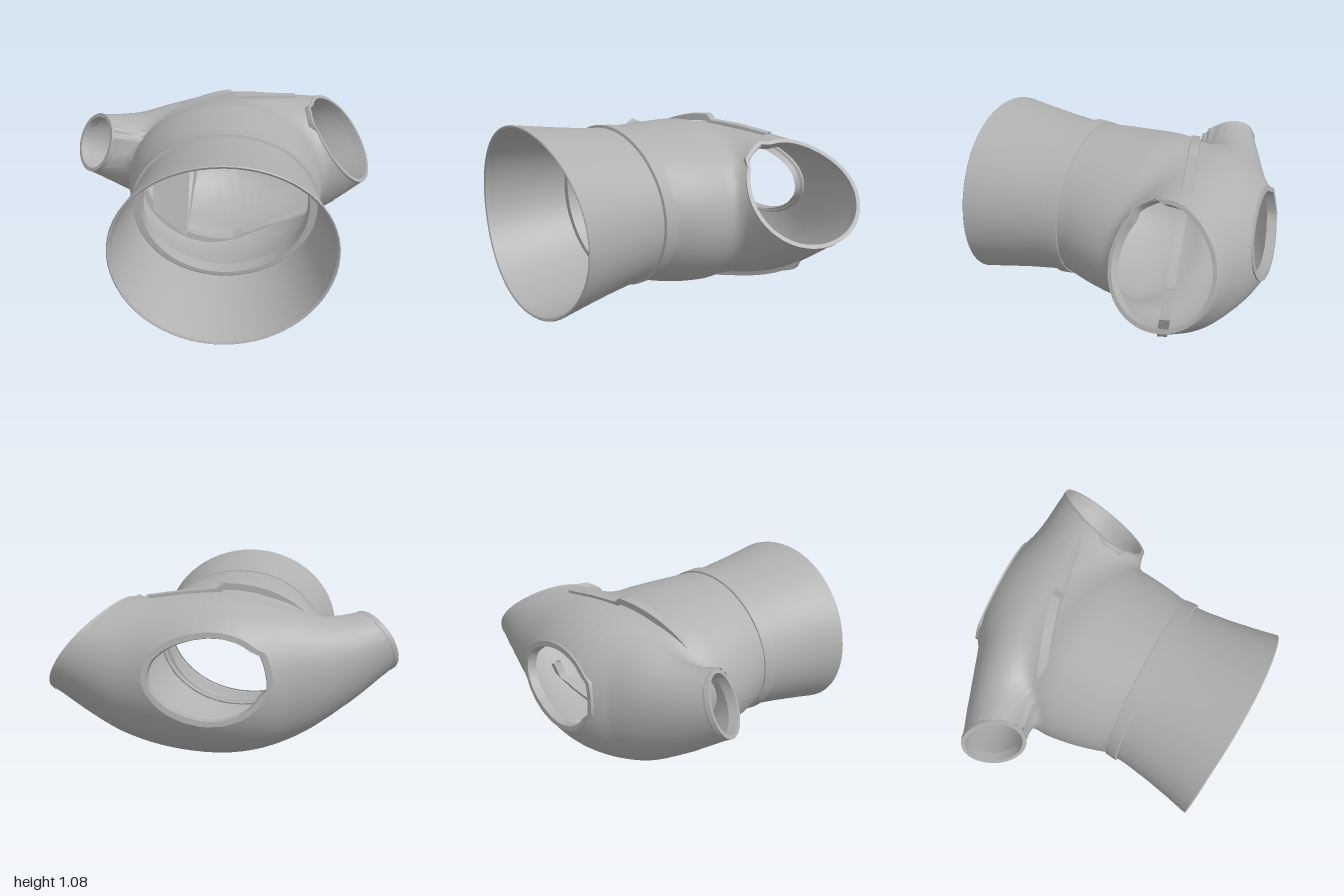
import * as THREE from 'three';
import { mergeVertices } from 'three/addons/utils/BufferGeometryUtils.js';

const V = (x, y, z) => new THREE.Vector3(x, y, z);
const UP = V(0, 1, 0);
const grey = new THREE.MeshStandardMaterial({ color: 0xb0b0b0, side: THREE.DoubleSide });
grey.name = 'grey';

// Torso frame: W runs towards the hem, U across the body
const W = V(0.3, 0, 0.954), U = V(0.954, 0, -0.3);
const WAIST = V(0.2, 0.555, 0.26), HEART = V(0, 0.53, -0.42);

// Openings that are cut from the body shell
const openings = {
  rightSleeve: { p: V(-0.77, 0.685, -0.035), n: V(-0.55, 0.4, 0.73).normalize(), reach: 0.5, lip: 0.003 },
  leftSleeve: { p: V(0.725, 0.645, -0.68), n: V(0.82, 0.58, 0.01).normalize(), reach: 0.62, lip: 0.003 },
  neck: { p: V(0.008, 0.52, -0.824), n: V(-0.36, 0.15, -0.92).normalize(), reach: 0.6, lip: 0.012 },
};
const waistCut = { p: WAIST.clone().addScaledVector(W, 0.04), n: W, reach: 9 };

// Shoulder tube from sleeve to sleeve: x, y, z, half width, half height
const stations = [
  [-0.93, 0.78, 0.1, 0.165, 0.165], [-0.77, 0.685, -0.035, 0.18, 0.185], [-0.52, 0.56, -0.23, 0.215, 0.28],
  [-0.25, 0.51, -0.35, 0.303, 0.395], [0.08, 0.51, -0.42, 0.468, 0.458], [0.42, 0.54, -0.56, 0.365, 0.405],
  [0.725, 0.645, -0.68, 0.305, 0.285], [0.9, 0.72, -0.75, 0.25, 0.24],
];
const axis = new THREE.CatmullRomCurve3(stations.map(([x, y, z]) => V(x, y, z)));
const sizes = new THREE.CatmullRomCurve3(stations.map(([, , , w, h]) => V(w, h, 0)));
const beads = Array.from({ length: 57 }, (_, i) => {
  const size = sizes.getPoint(i / 56);
  return { c: axis.getPoint(i / 56), w: size.x, squash: size.x / size.y };
});

function shoulders(p) {
  let best = 9;
  for (const { c, w, squash } of beads) {
    best = Math.min(best, Math.hypot(p.x - c.x, (p.y - c.y) * squash, p.z - c.z) - w);
  }
  return best;
}

function torso(p) {
  const d = p.clone().sub(WAIST), s = d.dot(W);
  const t = THREE.MathUtils.clamp(-s / 0.38, 0, 1), ease = t * (1.6 - 0.6 * t);
  const a = 0.53 + 0.075 * ease, b = 0.447 + 0.043 * ease;
  const back = Math.min(0, s + 0.38) / 0.55;
  return (Math.hypot(d.dot(U) / a, (d.y + 0.045 * ease) / b, back) - 1) * 0.48;
}

// Distance to the soft union of torso and shoulders
function field(p) {
  const a = shoulders(p), b = torso(p), k = 0.05;
  const h = Math.max(k - Math.abs(a - b), 0) / k;
  return Math.min(a, b) - h * h * k / 4;
}

// Distance along a ray from inside to the surface
function hit(o, d, max) {
  const at = (r) => field(o.clone().addScaledVector(d, r));
  let r = 0;
  while (r < max && at(r) < 0) r += 0.03;
  if (r >= max) return max;
  let lo = Math.max(0, r - 0.03), hi = r;
  for (let i = 0; i < 10; i++) {
    const m = (lo + hi) / 2;
    if (at(m) < 0) lo = m; else hi = m;
  }
  return lo;
}

function clip(poly, { p, n, reach }) {
  if (!poly.length) return poly;
  const mid = V(0, 0, 0);
  poly.forEach((q) => mid.addScaledVector(q, 1 / poly.length));
  if (mid.distanceTo(p) > reach) return poly;
  const out = [];
  poly.forEach((a, i) => {
    const b = poly[(i + 1) % poly.length];
    const da = a.clone().sub(p).dot(n), db = b.clone().sub(p).dot(n);
    if (da <= 0) out.push(a);
    if (da * db < 0) out.push(a.clone().lerp(b, da / (da - db)));
  });
  return out;
}

function triangles(list) {
  let g = new THREE.BufferGeometry();
  g.setAttribute('position', new THREE.Float32BufferAttribute(list.flatMap((v) => v.toArray()), 3));
  g = mergeVertices(g, 1e-4);
  g.computeVertexNormals();
  return g;
}

function bodyGeometry() {
  const n = 128, m = 64, grid = [], tris = [];
  for (let j = 0; j <= m; j++) {
    const row = [];
    for (let i = 0; i < n; i++) {
      const a = (i / n) * Math.PI * 2, b = (j / m) * Math.PI;
      const d = V(Math.sin(b) * Math.cos(a), Math.cos(b), Math.sin(b) * Math.sin(a));
      row.push(HEART.clone().addScaledVector(d, hit(HEART, d, 1.5)));
    }
    grid.push(row);
  }
  const cuts = [waistCut, ...Object.values(openings)];
  const add = (t) => {
    const q = cuts.reduce(clip, t);
    for (let k = 1; k + 1 < q.length; k++) tris.push(q[0], q[k], q[k + 1]);
  };
  for (let j = 0; j < m; j++) for (let i = 0; i < n; i++) {
    const k = (i + 1) % n;
    const a = grid[j][i], b = grid[j][k], c = grid[j + 1][k], d = grid[j + 1][i];
    if (j > 0) add([a, b, c]);
    if (j < m - 1) add([a, c, d]);
  }
  return triangles(tris);
}

// Surface through rows of points; sharp keeps an edge between rows
function loft(rows, closed, sharp) {
  const pos = [], idx = [], n = rows[0].length;
  const strips = sharp ? rows.slice(1).map((r, i) => [rows[i], r]) : [rows];
  strips.forEach((strip) => {
    const base = pos.length / 3;
    strip.forEach((row) => row.forEach((v) => pos.push(v.x, v.y, v.z)));
    for (let j = 0; j + 1 < strip.length; j++) for (let i = 0; i < (closed ? n : n - 1); i++) {
      const k = (i + 1) % n, a = base + j * n, b = a + n;
      idx.push(a + i, a + k, b + k, a + i, b + k, b + i);
    }
  });
  const g = new THREE.BufferGeometry();
  g.setAttribute('position', new THREE.Float32BufferAttribute(pos, 3));
  g.setIndex(idx);
  g.computeVertexNormals();
  return g;
}

// Ring round the lower body, bowed towards the hem at front and back
const ellipse = (s, a, b, y = 0) => Array.from({ length: 64 }, (_, i) => {
  const t = (i / 64) * Math.PI * 2, bow = 1 + 0.08 * Math.sin(t) ** 2;
  return WAIST.clone().addScaledVector(W, s * bow).addScaledVector(U, a * Math.cos(t) - 0.025 * s)
    .addScaledVector(UP, b * Math.sin(t) + y);
});

// Thick edge following an opening
function rimGeometry({ p, n, lip }) {
  const e = V(0, 1, 0).cross(n).normalize(), f = n.clone().cross(e);
  const loop = Array.from({ length: 56 }, (_, i) => {
    const t = (i / 56) * Math.PI * 2;
    const d = e.clone().multiplyScalar(Math.cos(t)).addScaledVector(f, Math.sin(t));
    return { d, r: hit(p, d, 0.42) };
  });
  const profile = [[0, -0.03], [lip, -0.02], [lip, 0.005], [-0.02, 0.005], [-0.025, -0.05]];
  return loft(profile.map(([dr, h]) => loop.map(({ d, r }) =>
    p.clone().addScaledVector(d, r + dr).addScaledVector(n, h))), true, true);
}

// Raised strip over the chest, round the side and under the body
function seamGeometry() {
  const e = V(0.84, 0, -0.54), side = V(0.54, 0, 0.84);
  const o = V(0.05, 0.53, -0.355).addScaledVector(side, 0.06);
  const rise = UP.clone().addScaledVector(side, -0.13).normalize();
  const path = Array.from({ length: 73 }, (_, i) => {
    const t = 0.8 + (5.99 - 0.8) * (i / 72), c = Math.cos(t), s = Math.sin(t);
    const d = e.clone().multiplyScalar(c).addScaledVector(rise, s);
    return { d, r: c < 0 ? 1 / Math.hypot(c / 0.61, s / (s < 0 ? 0.515 : 0.475)) : hit(o, d, 0.74) };
  });
  const profile = [[-0.02, -0.03], [0.018, -0.027], [0.018, 0.027], [-0.02, 0.03], [-0.02, -0.03]];
  return loft(profile.map(([dr, h]) => path.map(({ d, r }) =>
    o.clone().addScaledVector(d, r + dr).addScaledVector(side, h))), false, true);
}

export function createModel() {
  const group = new THREE.Group();
  group.name = 'sleevelessTop';
  const add = (name, geometry) => {
    const mesh = new THREE.Mesh(geometry, grey);
    mesh.name = name;
    group.add(mesh);
  };

  add('bodyShell', bodyGeometry());
  for (const [name, o] of Object.entries(openings)) add(name + 'Rim', rimGeometry(o));
  add('chestSeam', seamGeometry());

  // Flared skirt below the waist
  add('skirt', loft([[0.03, 0.525, 0.445], [0.15, 0.533, 0.458], [0.3, 0.553, 0.482], [0.45, 0.58, 0.51],
    [0.58, 0.608, 0.535]].map(([s, a, b]) => ellipse(s, a, b, -s * 0.017)), true));
  add('hemRim', loft([[0.58, 0.608, 0.535], [0.585, 0.603, 0.53], [0.58, 0.592, 0.519],
    [0.54, 0.583, 0.51]].map(([s, a, b]) => ellipse(s, a, b, -0.01)), true, true));

  // Raised waistband with an inner lip
  add('waistband', loft([[0, 0.52, 0.44], [0.004, 0.538, 0.457], [0.074, 0.543, 0.464], [0.08, 0.525, 0.445],
    [0.08, 0.485, 0.425], [0, 0.48, 0.42]].map(([s, a, b]) => ellipse(s, a, b)), true, true));

  // Loose folds of lining inside the waist
  const f = V(-0.05, 0.27, 0.25);
  add('liningFolds', triangles([
    f, V(0.01, 0.9, 0.1), V(-0.02, 0.92, 0.1),
    f, V(-0.07, 0.8, 0.1), V(-0.26, 0.62, 0.25),
    f, V(-0.26, 0.62, 0.25), V(-0.24, 0.45, 0.3),
  ]));
  return group;
}
